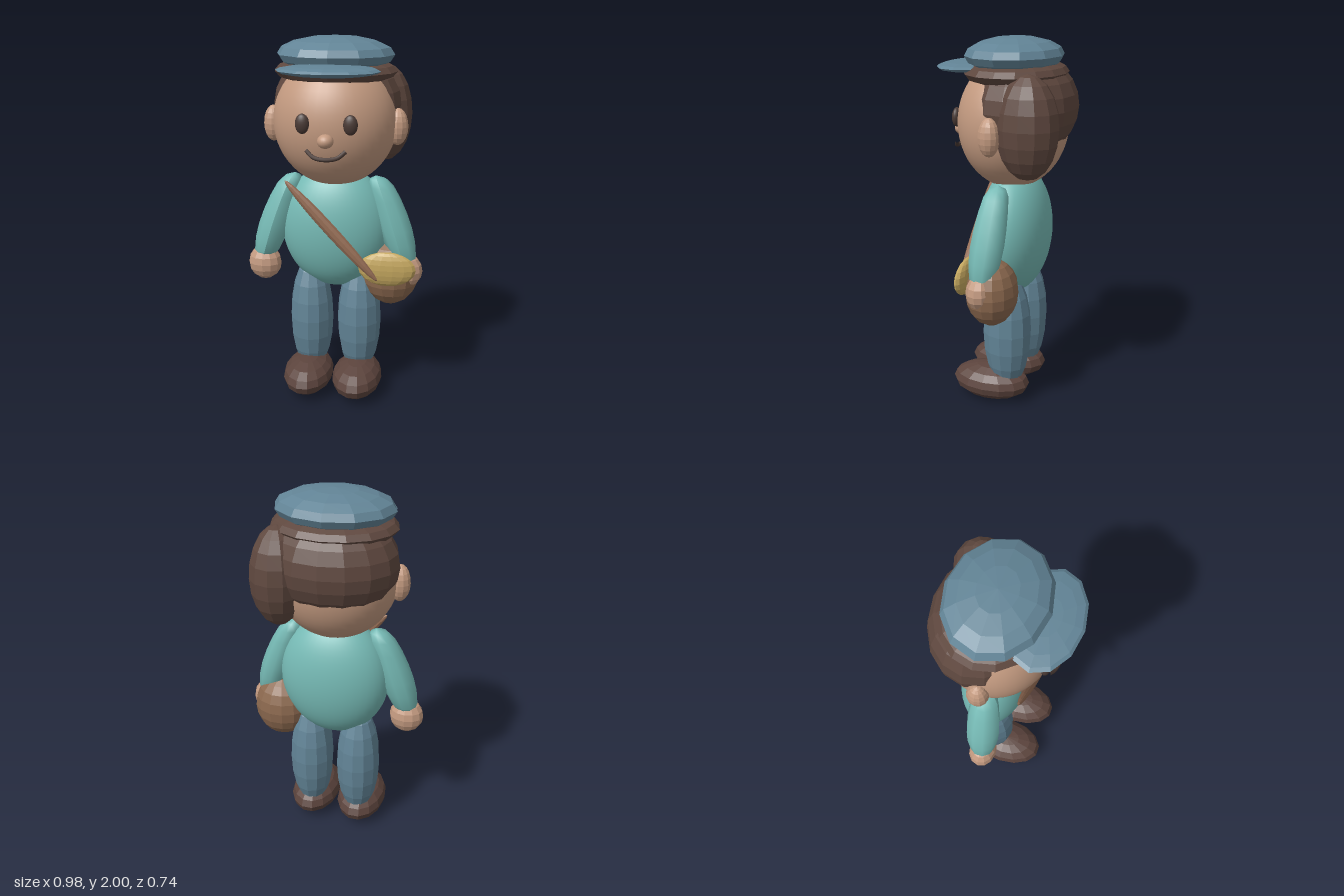
import * as THREE from 'three';

const mat = (name, color) => {
  const m = new THREE.MeshStandardMaterial({ color });
  m.name = name;
  return m;
};

export function createModel() {
  const model = new THREE.Group();
  model.name = 'character';

  const blue = mat('denim blue', 0x628496);
  const teal = mat('shirt teal', 0x76bab5);
  const skin = mat('skin', 0xc39a80);
  const hairBrown = mat('hair brown', 0x5f483f);
  const shoeBrown = mat('shoe brown', 0x5c443d);
  const dark = mat('face dark', 0x4a3a35);
  const leather = mat('leather', 0x8c694f);
  const strapBrown = mat('strap brown', 0x946c54);
  const gold = mat('gold', 0xc4a75f);

  const add = (name, geometry, material) => {
    const mesh = new THREE.Mesh(geometry, material);
    mesh.name = name;
    model.add(mesh);
    return mesh;
  };
  const facet = (geometry) => {
    const g = geometry.toNonIndexed();
    g.computeVertexNormals();
    return g;
  };
  // Ellipsoid; few sides are faceted, many sides are smooth
  const blob = (name, material, pos, radii, sides = 12, rows = 8) => {
    const g = new THREE.SphereGeometry(1, sides, rows);
    g.scale(...radii);
    const mesh = add(name, sides > 16 ? g : facet(g), material);
    mesh.position.set(...pos);
    return mesh;
  };

  // Torso and head
  blob('shirt', teal, [0, 0.97, -0.05], [0.3, 0.35, 0.185], 40, 28);
  blob('head', skin, [0, 1.56, -0.035], [0.33, 0.347, 0.288], 40, 28);

  // Hair
  blob('backHair', hairBrown, [0, 1.645, -0.1], [0.345, 0.27, 0.27], 16, 12);
  blob('hairBand', hairBrown, [0, 1.82, -0.05], [0.325, 0.075, 0.265], 16, 8);
  blob('sideBun', hairBrown, [0.25, 1.58, -0.2], [0.145, 0.262, 0.162], 12, 10);

  // Cap
  blob('capCrown', blue, [0, 1.905, -0.04], [0.31, 0.095, 0.25], 12, 8);
  blob('capVisor', blue, [0, 1.845, 0.19], [0.265, 0.03, 0.175], 12, 8);

  // Face
  blob('nose', skin, [0, 1.507, 0.263], [0.042, 0.036, 0.042], 20, 14);
  const smile = new THREE.CatmullRomCurve3([
    [-0.1, 1.455, 0.25], [-0.06, 1.425, 0.27], [0, 1.417, 0.28],
    [0.06, 1.425, 0.27], [0.1, 1.455, 0.25],
  ].map((p) => new THREE.Vector3(...p)));
  add('mouth', new THREE.TubeGeometry(smile, 20, 0.011, 8), dark);

  // Sheared lathe for the sleeve, leaning out and slightly forward
  const sleeve = (side) => {
    const profile = [
      [0, 0.79], [0.05, 0.795], [0.07, 0.82], [0.086, 0.9], [0.091, 0.98],
      [0.088, 1.06], [0.08, 1.14], [0.068, 1.21], [0.045, 1.25], [0, 1.268],
    ].map(([r, y]) => new THREE.Vector2(r, y));
    const g = new THREE.LatheGeometry(profile, 10);
    const p = g.attributes.position;
    for (let i = 0; i < p.count; i++) {
      const t = Math.max(0, (1.27 - p.getY(i)) / 0.45);
      p.setX(i, p.getX(i) + side * (0.22 + 0.165 * Math.pow(t, 0.8)));
      p.setZ(i, p.getZ(i) - 0.035 + 0.025 * t);
    }
    g.computeVertexNormals();
    return g;
  };

  // Mirrored parts
  for (const [label, s] of [['left', 1], ['right', -1]]) {
    blob(label + 'Ear', skin, [s * 0.333, 1.537, -0.03], [0.055, 0.098, 0.056], 12, 10);
    blob(label + 'Eye', dark, [s * 0.122, 1.587, 0.237], [0.037, 0.051, 0.024], 20, 14);
    add(label + 'Sleeve', sleeve(s), teal);
    blob(label + 'Hand', skin, [s * 0.397, 0.745, -0.005], [0.094, 0.098, 0.076], 12, 8);
    blob(label + 'Leg', blue, [s * 0.137, 0.42, -0.05], [0.124, 0.35, 0.135], 12, 10);
    blob(label + 'Shoe', shoeBrown, [s * 0.141, 0.1, 0.045], [0.141, 0.1, 0.222], 14, 8);
  }

  // Shoulder bag with flap and diagonal strap
  blob('bag', leather, [0.312, 0.72, -0.033], [0.158, 0.185, 0.137], 14, 10);
  blob('bagFlap', gold, [0.305, 0.787, 0.108], [0.155, 0.097, 0.036], 14, 10);
  const top = new THREE.Vector3(-0.24, 1.265, 0.143);
  const bottom = new THREE.Vector3(0.26, 0.74, 0.17);
  const along = top.clone().sub(bottom);
  const strap = blob('strap', strapBrown, [0, 0, 0], [0.033, along.length() / 2, 0.026], 10, 12);
  strap.position.copy(top).add(bottom).multiplyScalar(0.5);
  strap.quaternion.setFromUnitVectors(new THREE.Vector3(0, 1, 0), along.normalize());

  return model;
}
